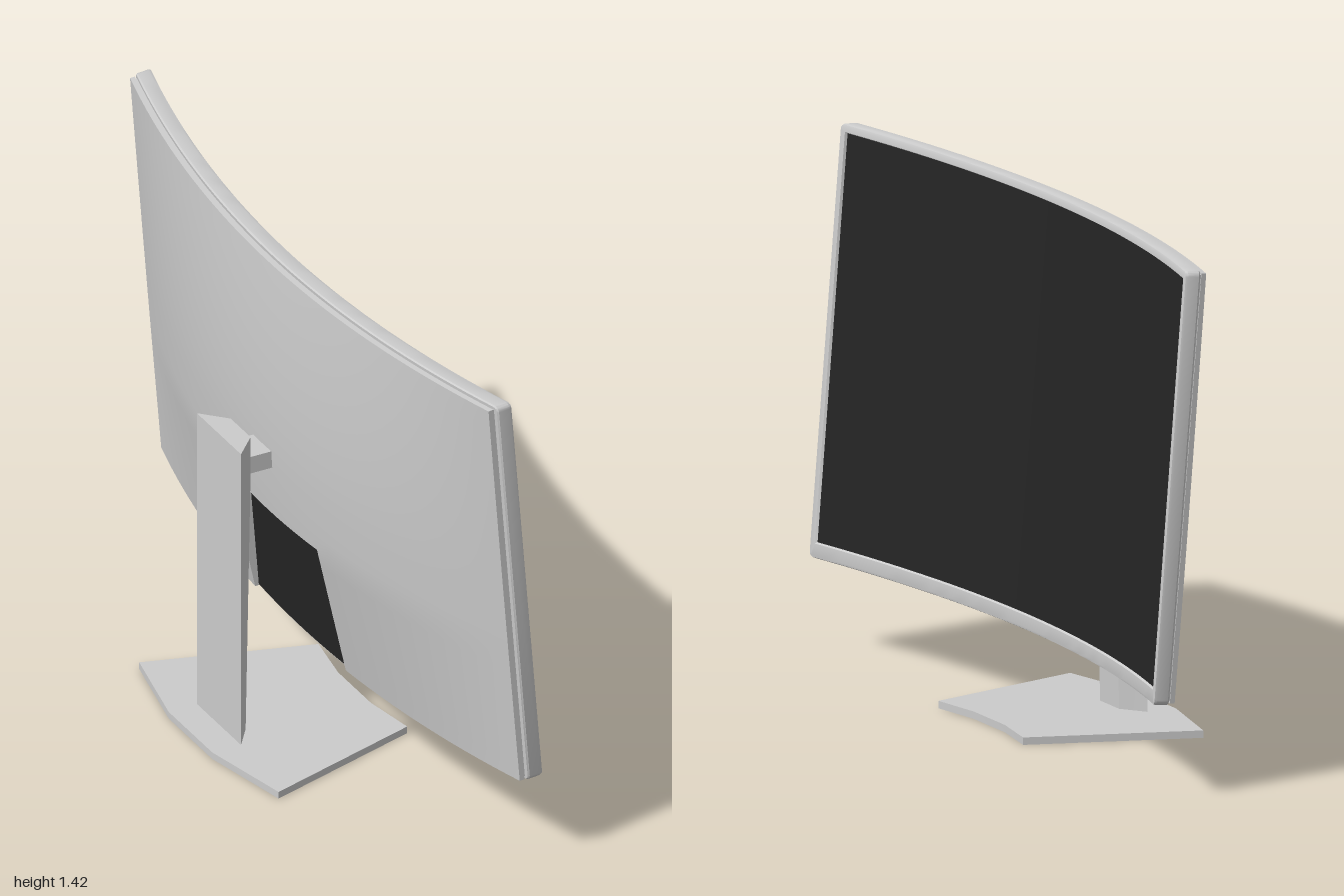
import * as THREE from 'three';
import { toCreasedNormals } from 'three/addons/utils/BufferGeometryUtils.js';

const GREY = 0xcccccc, BLACK = 0x242424;
const HEIGHT = 1.165; // panel height along its own tilted axis
const SAG = 0.13; // how far the middle sits behind the side edges
const bend = (z) => -SAG * (1 - z * z);

function part(name, geometry, color = GREY) {
  const mesh = new THREE.Mesh(toCreasedNormals(geometry, 0.5), new THREE.MeshStandardMaterial({ color }));
  mesh.name = name;
  return mesh;
}

// Slab that follows the curve: depth n0 (back) to n1 (front), height v0 to v1
function curvedSlab(n0, n1, v0, v1, halfWidth) {
  const g = new THREE.BoxGeometry(n1 - n0, v1 - v0, halfWidth * 2, 1, 1, 40);
  g.translate((n0 + n1) / 2, (v0 + v1) / 2, 0);
  const p = g.attributes.position;
  for (let i = 0; i < p.count; i++) p.setX(i, p.getX(i) + bend(p.getZ(i)));
  return g;
}

// Rounded rectangle loop on the curved panel, counter-clockwise seen from the front
function ring(inset, bottom, n) {
  const r = Math.max(0.016 - inset, 0.002), w = 1 - inset - r;
  const low = bottom + r, high = HEIGHT - inset - r, points = [];
  const corner = (z, v, start) => {
    for (let i = 0; i <= 4; i++) {
      const a = start + (i / 4) * Math.PI / 2;
      points.push([z + r * Math.cos(a), v + r * Math.sin(a)]);
    }
  };
  const edge = (v, dir) => {
    for (let i = 1; i < 40; i++) points.push([dir * w * (i / 20 - 1), v]);
  };
  corner(w, high, 0);
  edge(high + r, -1);
  corner(-w, high, Math.PI / 2);
  corner(-w, low, Math.PI);
  edge(low - r, 1);
  corner(w, low, Math.PI * 1.5);
  return points.map(([z, v]) => [n + bend(z), v, z]);
}

// Frame swept around the screen from a small cross-section
function bezelGeometry() {
  const profile = [[0.03, 0.03, -0.045], [0.003, 0.003, -0.045], [0, 0, -0.041], [0, 0, -0.009],
    [0.003, 0.003, -0.002], [0.009, 0.009, 0], [0.022, 0.04, 0], [0.026, 0.045, -0.008]];
  const rings = profile.map((p) => ring(...p)), count = rings[0].length, index = [];
  for (let j = 0; j < rings.length - 1; j++) {
    for (let i = 0; i < count; i++) {
      const a = j * count + i, b = j * count + (i + 1) % count;
      index.push(a, a + count, b, b, a + count, b + count);
    }
  }
  const g = new THREE.BufferGeometry();
  g.setAttribute('position', new THREE.Float32BufferAttribute(rings.flat(2), 3));
  g.setIndex(index);
  g.computeVertexNormals();
  return g;
}

// Domed rear cover with a rectangular recess cut into its lower middle
function shellGeometry() {
  const span = (a, b, n) => Array.from({ length: n + 1 }, (_, i) => a + (b - a) * i / n);
  const zs = [...span(-0.99, -0.25, 14), ...span(-0.25, 0.25, 10), ...span(0.25, 0.99, 14)];
  const vs = [...span(0.004, 0.4, 8), ...span(0.4, HEIGHT - 0.008, 16)];
  const thickness = (v, z) => {
    const t = v < 0.41 ? v / 0.41 : 1 - Math.max(0, (v - 0.55) / 0.61) ** 1.7;
    return 0.064 + 0.06 * Math.max(t, 0) * (1 - z * z);
  };
  const g = new THREE.BoxGeometry(1, 1, 1, 1, vs.length - 1, zs.length - 1);
  const p = g.attributes.position;
  for (let i = 0; i < p.count; i++) {
    const vi = Math.round((p.getY(i) + 0.5) * (vs.length - 1));
    const zi = Math.round((p.getZ(i) + 0.5) * (zs.length - 1));
    const v = vs[vi], z = zs[zi], inRecess = vi <= 8 && zi >= 15 && zi <= 25;
    const depth = p.getX(i) > 0 ? 0.05 : inRecess ? 0.052 : thickness(v, z);
    p.setXYZ(i, bend(z) - depth, v, z);
  }
  return g;
}

// Flat plate with the given x,z outline
function baseGeometry() {
  const half = [[-0.26, 0.12], [-0.205, 0.385], [0.255, 0.245], [0.23, 0.09]];
  const outline = [...half, ...half.map(([x, z]) => [x, -z]).reverse()];
  const shape = new THREE.Shape(outline.map(([x, z]) => new THREE.Vector2(x, -z)));
  const g = new THREE.ExtrudeGeometry(shape, { depth: 0.02, bevelEnabled: false });
  return g.rotateX(-Math.PI / 2);
}

// Column with a trapezoid section, narrower to the front and slimmer at the foot
function columnGeometry() {
  const g = new THREE.BoxGeometry(1, 1, 1, 1, 2, 1), p = g.attributes.position;
  for (let i = 0; i < p.count; i++) {
    const front = p.getX(i) > 0, y = [0.015, 0.8, 0.904][Math.round((p.getY(i) + 0.5) * 2)];
    const x = front ? (y < 0.1 ? -0.125 : -0.11) : -0.175;
    p.setXYZ(i, x, y, Math.sign(p.getZ(i)) * (front ? 0.055 : 0.122));
  }
  return g;
}

export function createModel() {
  const model = new THREE.Group();
  model.name = 'curvedMonitor';

  // Tilted display
  const display = new THREE.Group();
  display.name = 'display';
  display.position.set(0.255, 0.256, 0);
  display.rotation.z = 0.081;
  display.add(
    part('bezel', bezelGeometry()),
    part('screen', curvedSlab(-0.02, -0.006, 0.043, HEIGHT - 0.025, 0.976), BLACK),
    part('core', curvedSlab(-0.051, -0.022, 0.01, HEIGHT - 0.012, 0.986)),
    part('rearShell', shellGeometry()),
    part('recessPanel', curvedSlab(-0.054, -0.05, 0.008, 0.399, 0.249), BLACK),
  );

  // Stand
  const arm = part('mountArm', new THREE.BoxGeometry(0.1, 0.05, 0.1));
  arm.position.set(-0.07, 0.815, 0);
  model.add(display, arm, part('standColumn', columnGeometry()), part('standBase', baseGeometry()));
  return model;
}
